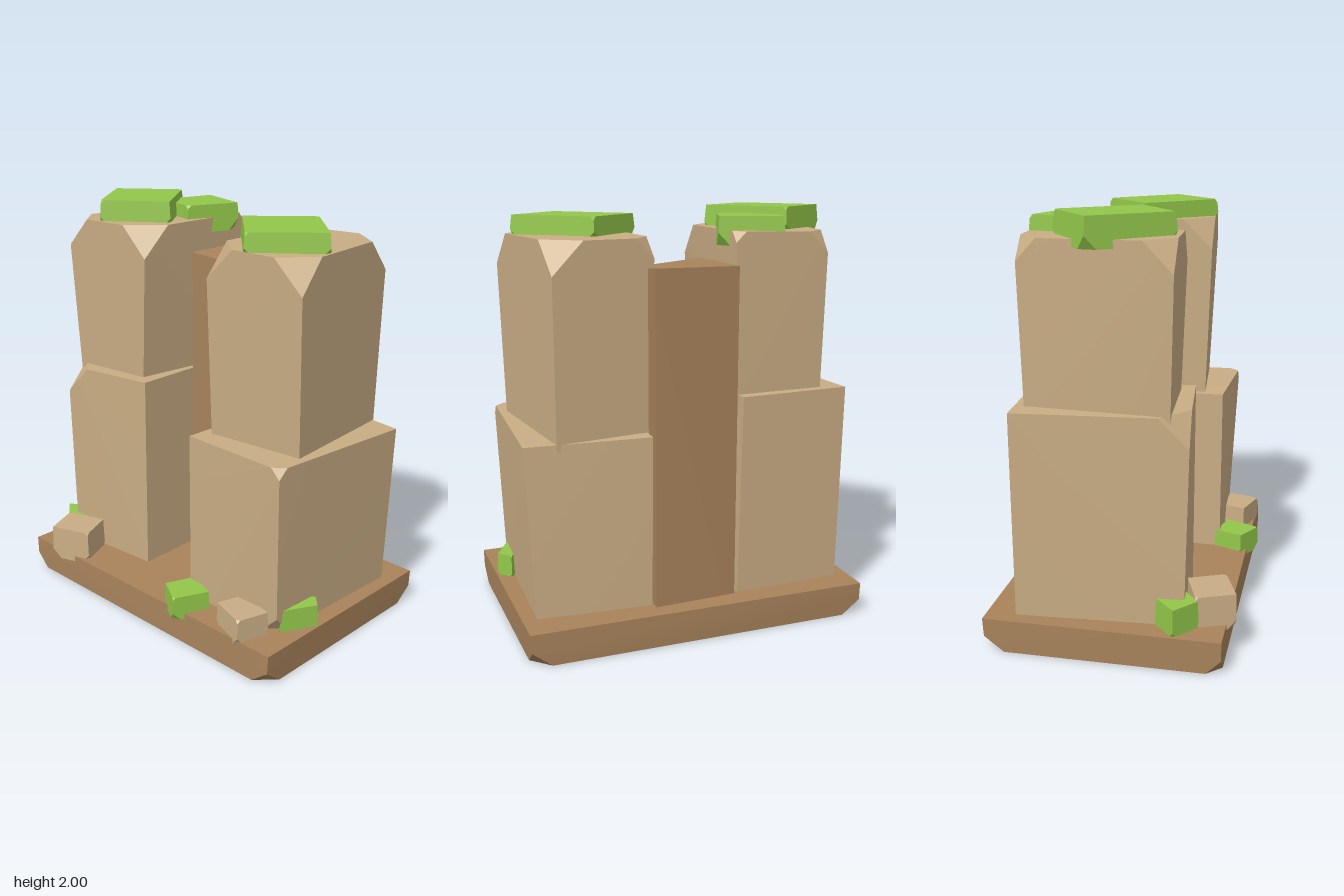
import * as THREE from 'three';
import { ConvexGeometry } from 'three/addons/geometries/ConvexGeometry.js';
import { toCreasedNormals } from 'three/addons/utils/BufferGeometryUtils.js';

const material = (name, color) => {
  const m = new THREE.MeshStandardMaterial({ color });
  m.name = name;
  return m;
};

// Rough block from four bottom and four top corners [x, y, z], listed around
// the block. Each corner may be sawn off by a distance along its three edges.
function block(name, mat, bottom, top, bottomCuts, topCuts) {
  const rings = [bottom, top].map(r => r.map(p => new THREE.Vector3(...p)));
  const cuts = [bottomCuts, topCuts];
  const points = [];
  rings.forEach((ring, level) => ring.forEach((p, i) => {
    const d = cuts[level][i];
    if (!d) return points.push(p);
    for (const q of [ring[(i + 1) % 4], ring[(i + 3) % 4], rings[1 - level][i]]) {
      points.push(p.clone().lerp(q, Math.min(d / p.distanceTo(q), 0.45)));
    }
  }));
  const mesh = new THREE.Mesh(toCreasedNormals(new ConvexGeometry(points), 0.45), mat);
  mesh.name = name;
  return mesh;
}

// Small stone or moss pad: plan corners [x, z], height range, size of corner cuts
function pad(name, mat, plan, y0, y1, cut) {
  const cx = plan.reduce((s, p) => s + p[0], 0) / 4;
  const cz = plan.reduce((s, p) => s + p[1], 0) / 4;
  const ring = (y, k) => plan.map(([x, z]) => [cx + (x - cx) * k, y, cz + (z - cz) * k]);
  return block(name, mat, ring(y0, 1), ring(y1, 0.95),
    [cut, cut, cut, cut], [cut * 0.3, 0, cut * 0.3, 0]);
}

export function createModel() {
  const group = new THREE.Group();
  const stone = material('sandstone', 0xc9ad84);
  const earth = material('brown earth', 0xa8835b);
  const moss = material('green moss', 0x92c64a);
  const none = [0, 0, 0, 0];

  // Ground slab with sawn lower corners
  group.add(block('groundSlab', earth,
    [[-0.84, 0, -0.57], [0.83, 0, -0.58], [0.83, 0, 0.53], [-0.84, 0, 0.53]],
    [[-0.84, 0.16, -0.58], [0.84, 0.16, -0.575], [0.835, 0.16, 0.525], [-0.845, 0.16, 0.53]],
    [0.09, 0.09, 0.09, 0.07], none));

  // Brown pillar between the towers
  group.add(block('middlePillar', earth,
    [[-0.2, 0.1, -0.47], [0.21, 0.1, -0.49], [0.2, 0.1, -0.06], [-0.2, 0.1, -0.04]],
    [[-0.2, 1.75, -0.47], [0.215, 1.755, -0.495], [0.21, 1.715, -0.06], [-0.19, 1.75, -0.035]],
    none, none));

  // Right tower
  group.add(block('rightTowerLower', stone,
    [[-0.77, 0.14, -0.44], [-0.22, 0.14, -0.46], [-0.2, 0.14, 0.3], [-0.72, 0.14, 0.34]],
    [[-0.79, 1.14, -0.44], [-0.23, 1.14, -0.475], [-0.19, 1.15, 0.3], [-0.72, 1.14, 0.36]],
    none, [0, 0, 0, 0.14]));
  group.add(block('rightTowerUpper', stone,
    [[-0.67, 1.08, -0.4], [-0.21, 1.08, -0.42], [-0.27, 1.08, 0.24], [-0.71, 1.08, 0.27]],
    [[-0.68, 1.89, -0.42], [-0.2, 1.9, -0.43], [-0.21, 1.9, 0.26], [-0.75, 1.9, 0.29]],
    none, [0.1, 0.05, 0.15, 0.14]));

  // Left tower
  group.add(block('leftTowerLower', stone,
    [[0.22, 0.14, -0.46], [0.77, 0.14, -0.42], [0.74, 0.14, 0.36], [0.2, 0.14, 0.38]],
    [[0.22, 0.99, -0.475], [0.81, 0.98, -0.41], [0.77, 1.0, 0.4], [0.2, 1.0, 0.38]],
    [0, 0, 0.1, 0], [0, 0, 0.05, 0]));
  group.add(block('leftTowerUpper', stone,
    [[0.2, 0.95, -0.39], [0.66, 0.95, -0.43], [0.74, 0.95, 0.23], [0.25, 0.95, 0.28]],
    [[0.18, 1.88, -0.39], [0.67, 1.88, -0.455], [0.76, 1.88, 0.27], [0.24, 1.89, 0.31]],
    none, [0.09, 0.15, 0.15, 0.15]));

  // Moss caps on the towers
  group.add(
    pad('largeMossCap', moss, [[-0.52, -0.3], [-0.24, 0.06], [-0.53, 0.27], [-0.81, -0.08]], 1.86, 2.0, 0.06),
    pad('smallMossCap', moss, [[-0.45, -0.43], [-0.15, -0.33], [-0.25, -0.06], [-0.52, -0.14]], 1.83, 1.965, 0.06),
    pad('leftMossCap', moss, [[0.42, -0.27], [0.74, 0.05], [0.46, 0.31], [0.14, -0.02]], 1.85, 1.97, 0.06));

  // Moss clumps and loose stones on the slab
  group.add(
    pad('frontMossClump', moss, [[0.2, 0.35], [0.36, 0.41], [0.28, 0.58], [0.14, 0.5]], 0.13, 0.25, 0.04),
    pad('rightMossClump', moss, [[-0.72, 0.2], [-0.61, 0.32], [-0.72, 0.41], [-0.84, 0.31]], 0.14, 0.29, 0.04),
    pad('leftMossClump', moss, [[0.77, 0.11], [0.83, 0.17], [0.74, 0.34], [0.66, 0.25]], 0.14, 0.27, 0.03),
    pad('rightLooseStone', stone, [[-0.73, 0.39], [-0.52, 0.32], [-0.44, 0.5], [-0.65, 0.575]], 0.13, 0.305, 0.05),
    pad('leftLooseStone', stone, [[0.52, 0.33], [0.71, 0.38], [0.66, 0.54], [0.47, 0.48]], 0.13, 0.27, 0.05));

  return group;
}
